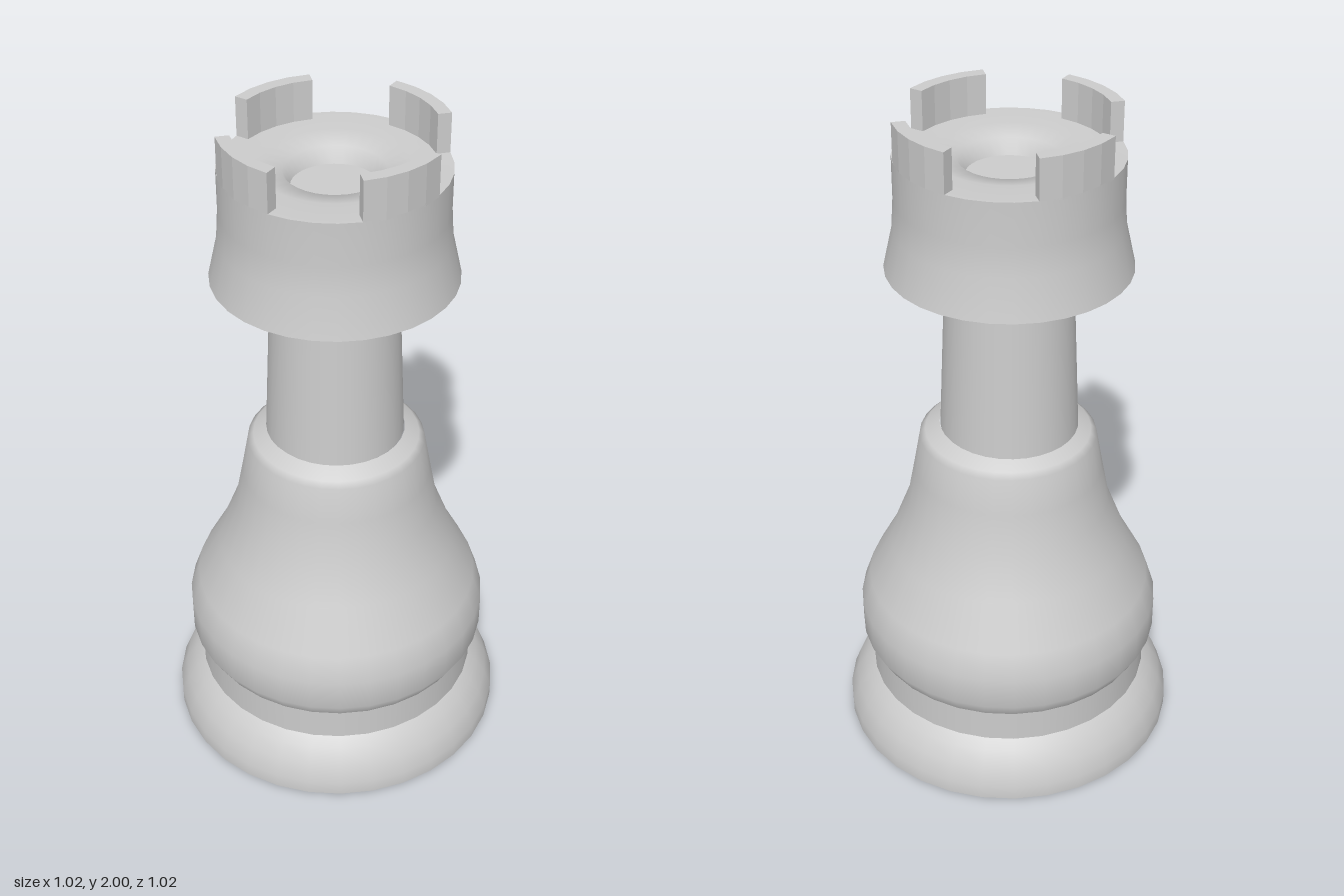
import * as THREE from 'three';

const SIDES = 32;
const material = new THREE.MeshStandardMaterial({ color: 0xcccccc });

// Each profile runs upward on the outside as [radius, height] pairs.
function turned(name, profile) {
  const points = profile.map(([r, y]) => new THREE.Vector2(r, y));
  const mesh = new THREE.Mesh(new THREE.LatheGeometry(points, SIDES), material);
  mesh.name = name;
  return mesh;
}

// Curved block of the battlement, centred on the given angle.
function merlon(angle, inner, outer, bottom, top) {
  const steps = 4, half = Math.PI / 8;
  const arc = (r) => Array.from({ length: steps + 1 }, (_, i) => {
    const a = angle - half + (2 * half * i) / steps;
    return new THREE.Vector2(r * Math.cos(a), r * Math.sin(a));
  });
  const shape = new THREE.Shape([...arc(outer), ...arc(inner).reverse()]);
  const geometry = new THREE.ExtrudeGeometry(shape, { depth: top - bottom, bevelEnabled: false });
  geometry.rotateX(-Math.PI / 2);
  geometry.translate(0, bottom, 0);
  const mesh = new THREE.Mesh(geometry, material);
  mesh.name = 'merlon';
  return mesh;
}

export function createModel() {
  const group = new THREE.Group();
  group.name = 'rook';

  // Foot, groove and belly
  group.add(
    turned('underside', [[0, 0], [0.51, 0]]),
    turned('foot', [[0.51, 0], [0.51, 0.045], [0.488, 0.1], [0.458, 0.145], [0.43, 0.17]]),
    turned('groove', [[0.43, 0.17], [0.43, 0.27]]),
    turned('belly', [
      [0.43, 0.27], [0.458, 0.32], [0.458, 0.42], [0.43, 0.5], [0.36, 0.63],
      [0.305, 0.77], [0.282, 0.89], [0.262, 1.0], [0.245, 1.015], [0.202, 1.04],
    ]),
  );

  // Neck and crown sit very slightly off the axis of the base
  const tower = new THREE.Group();
  tower.name = 'tower';
  tower.position.x = -0.006;
  tower.add(
    turned('neck', [[0.203, 1.035], [0.18, 1.56]]),
    turned('crownUnderside', [[0.17, 1.556], [0.349, 1.556]]),
    turned('crownWall', [[0.349, 1.556], [0.322, 1.675], [0.316, 1.76], [0.316, 1.885]]),
    turned('crownTop', [[0.316, 1.885], [0.21, 1.883], [0.14, 1.87], [0.12, 1.825]]),
    turned('wellFloor', [[0.12, 1.825], [0, 1.825]]),
  );

  // Four merlons
  for (let i = 0; i < 4; i++) tower.add(merlon((i * Math.PI) / 2, 0.278, 0.316, 1.88, 2));

  group.add(tower);
  return group;
}
